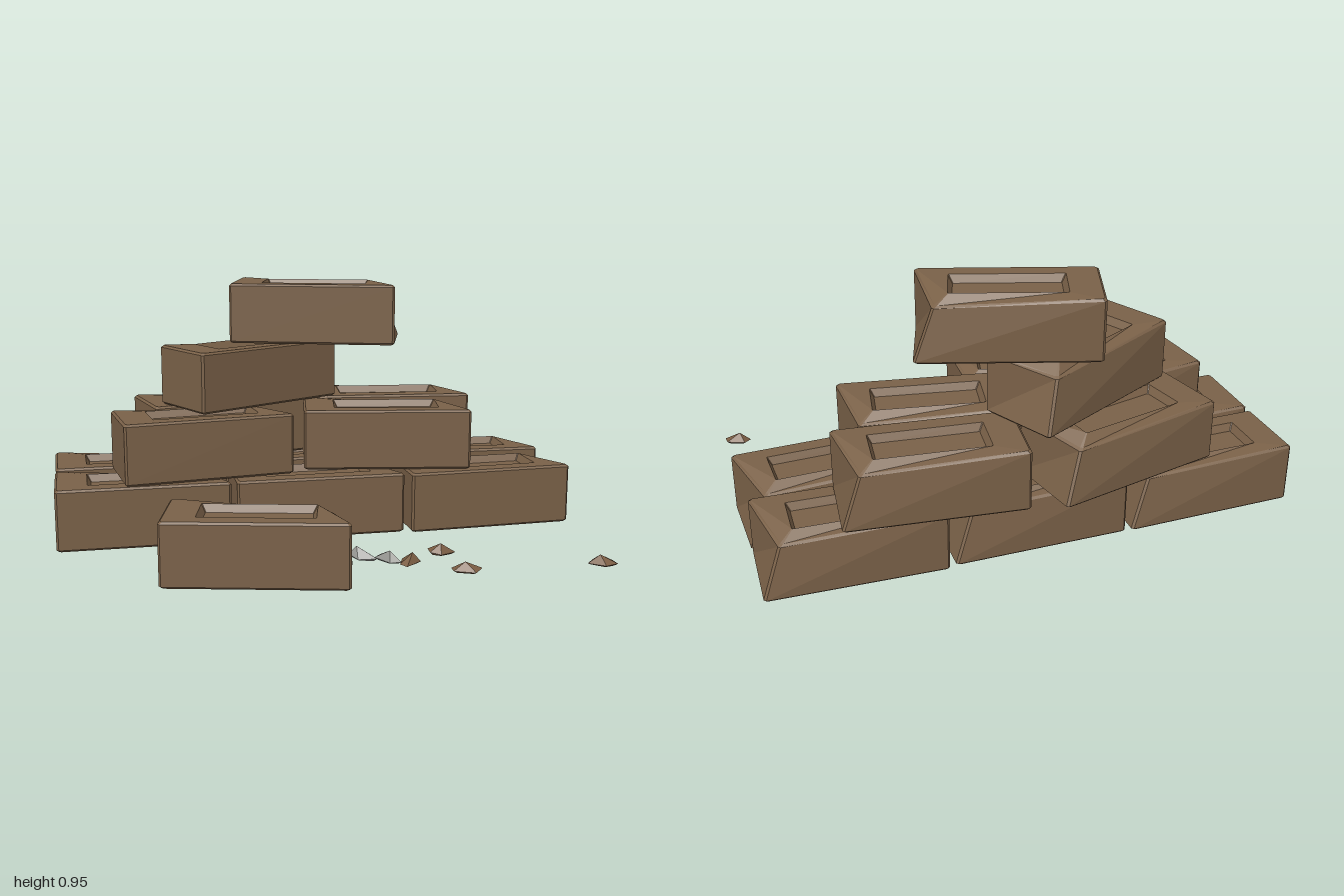
import * as THREE from 'three';

const clay = new THREE.MeshStandardMaterial({ color: 0x7a6148 });
clay.name = 'brown clay';
const brokenClay = new THREE.MeshStandardMaterial({ color: 0x7b5d43 });
brokenClay.name = 'broken clay';
const mortar = new THREE.MeshStandardMaterial({ color: 0x9a9a95 });
mortar.name = 'grey mortar';

const L = 0.325, W = 0.15, H = 0.234; // brick half length, half width, height

// Stacks closed rings of points into a faceted surface; first and last rings are single points
function skin(rings) {
  const pos = [];
  const n = rings[1].length;
  const at = (r, i) => r[i % r.length];
  for (let k = 0; k < rings.length - 1; k++) {
    const a = rings[k], b = rings[k + 1];
    for (let i = 0; i < n; i++) {
      if (a.length > 1) pos.push(...at(a, i), ...at(a, i + 1), ...at(b, i + 1));
      if (b.length > 1) pos.push(...at(a, i), ...at(b, i + 1), ...at(b, i));
    }
  }
  const g = new THREE.BufferGeometry();
  g.setAttribute('position', new THREE.Float32BufferAttribute(pos, 3));
  g.computeVertexNormals();
  return g;
}

// Rectangle with clipped corners; "chip" pulls the back right corner in and down
function rectRing(hx, hz, y, cut, chip) {
  const ring = [];
  for (const [sx, sz] of [[1, 1], [1, -1], [-1, -1], [-1, 1]]) {
    const alongX = [sx * (hx - cut), y, sz * hz];
    const alongZ = [sx * hx, y, sz * (hz - cut)];
    const pair = sx === sz ? [alongX, alongZ] : [alongZ, alongX];
    for (const p of pair) {
      if (sx > 0 && sz < 0) {
        p[0] -= 0.068 * chip;
        p[1] -= 0.033 * chip;
        p[2] += 0.028 * chip;
      }
      ring.push(p);
    }
  }
  return ring;
}

// Brick: bevelled block with a sunken panel on top and one worn corner
function brickGeometry() {
  const b = 0.008;
  return skin([
    [[0, 0, 0]],
    rectRing(L - b, W - b, 0, b, 0),
    rectRing(L, W, b, b, 0),
    rectRing(L, W, H - b, b, 0.97),
    rectRing(L - b, W - b, H, b, 1),
    rectRing(0.205, 0.083, H, 0.003, 0),
    rectRing(0.19, 0.068, H - 0.028, 0.003, 0),
    [[0, H - 0.028, 0]],
  ]);
}

// Deterministic jitter
function seeded(seed) {
  let s = seed * 7919 + 13;
  return () => (s = (s * 16807) % 2147483647) / 2147483647;
}

// Shard: irregular pointed chip of rubble, narrower underneath
function shardGeometry(hx, hz, h, seed) {
  const rnd = seeded(seed);
  rnd();
  const foot = [], rim = [], sides = 5;
  for (let i = 0; i < sides; i++) {
    const a = Math.PI / 2 - ((i + 0.5 * rnd()) / sides) * Math.PI * 2;
    const r = 0.88 + 0.2 * rnd();
    const x = Math.cos(a) * hx * r, z = Math.sin(a) * hz * r;
    foot.push([x * 0.75, 0, z * 0.75]);
    rim.push([x, h * 0.25 * rnd() + 0.003, z]);
  }
  const apex = [(rnd() - 0.5) * hx * 0.6, h, (rnd() - 0.5) * hz * 0.6];
  return skin([[[0, 0, 0]], foot, rim, [apex]]);
}

export function createModel() {
  const model = new THREE.Group();
  model.name = 'brickPile';
  const brick = brickGeometry();

  // Each layer: [x, z, yaw] per brick
  const layers = [
    { name: 'bottomBrick', y: 0.005, bricks: [
      [-0.672, -0.08, 0], [0, -0.08, 0], [0.672, -0.075, 0.035],
      [-0.672, -0.415, 0.015], [0, -0.415, 0], [0.67, -0.415, -0.037],
    ] },
    { name: 'secondBrick', y: 0.24, bricks: [
      [-0.435, -0.12, 0.13], [0.30, -0.15, -0.175],
      [-0.32, -0.465, 0.235], [0.385, -0.465, -0.11],
    ] },
    { name: 'thirdBrick', y: 0.478, bricks: [[-0.217, -0.322, 0.48]] },
    { name: 'topBrick', y: 0.715, bricks: [[0.052, -0.32, -0.31]] },
    { name: 'fallenBrick', y: 0.005, bricks: [[-0.307, 0.461, -0.233]] },
  ];
  for (const layer of layers) {
    layer.bricks.forEach(([x, z, yaw], i) => {
      const mesh = new THREE.Mesh(brick, clay);
      mesh.name = layer.name + (layer.bricks.length > 1 ? i + 1 : '');
      mesh.position.set(x, layer.y, z);
      mesh.rotation.y = yaw;
      model.add(mesh);
    });
  }

  // Rubble: [material, x, z, half length, half width, height, yaw]
  const rubble = [
    [mortar, -0.178, 0.305, 0.062, 0.036, 0.045, -0.3],
    [mortar, 0.093, 0.335, 0.07, 0.036, 0.045, -1.0],
    [mortar, 0.178, 0.385, 0.06, 0.034, 0.045, -0.95],
    [brokenClay, 0.248, 0.42, 0.056, 0.038, 0.04, 0.9],
    [brokenClay, 0.388, 0.34, 0.058, 0.038, 0.042, -0.4],
    [brokenClay, 0.42, 0.548, 0.06, 0.038, 0.038, -0.3],
    [brokenClay, 0.923, 0.575, 0.056, 0.036, 0.038, -0.6],
  ];
  rubble.forEach(([material, x, z, hx, hz, h, yaw], i) => {
    const mesh = new THREE.Mesh(shardGeometry(hx, hz, h, i + 3), material);
    mesh.name = (material === mortar ? 'mortarShard' : 'brickShard') + (i + 1);
    mesh.position.set(x, 0, z);
    mesh.rotation.y = yaw;
    model.add(mesh);
  });
  return model;
}
